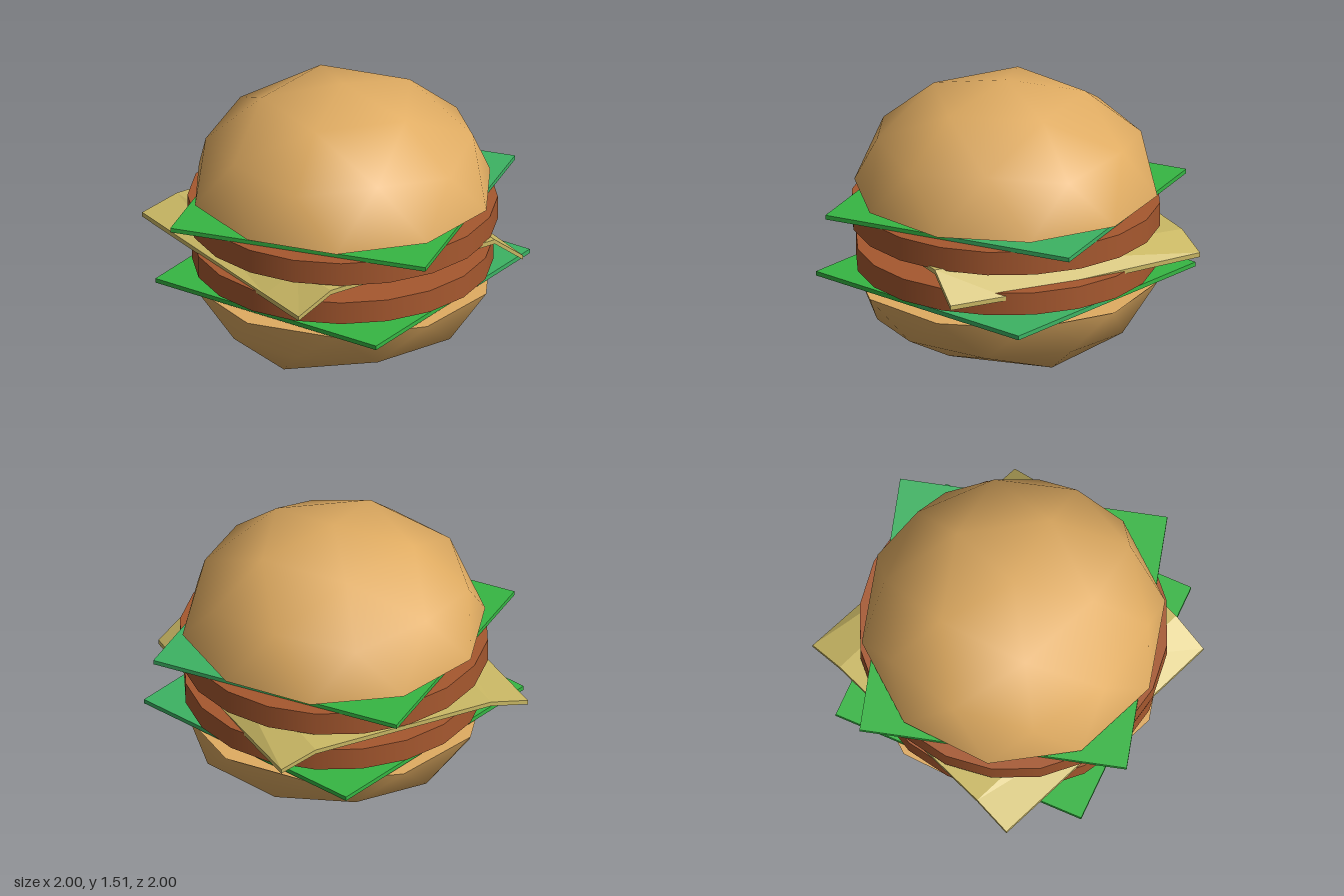
import * as THREE from 'three';

const mat = (name, color, side = THREE.FrontSide) => {
  const m = new THREE.MeshStandardMaterial({ color, side });
  m.name = name;
  return m;
};

const add = (parent, name, geometry, material) => {
  const m = new THREE.Mesh(geometry, material);
  m.name = name;
  parent.add(m);
  return m;
};

// Half of a once-subdivided icosahedron, pole along +y (dir 1) or -y (dir -1)
function domeGeometry(radius, height, dir, adjust) {
  const pos = [], index = [];
  const point = (deg, r, y) => {
    const a = THREE.MathUtils.degToRad(deg);
    const p = new THREE.Vector3(Math.cos(a) * r * radius, y * height * dir, -Math.sin(a) * r * radius);
    if (adjust) adjust(p, y);
    pos.push(p.x, p.y, p.z);
  };
  const ring = (n, start, r, y) => {
    for (let k = 0; k < n; k++) point(start + k * 360 / n, r, y);
  };
  point(0, 0, 1);
  ring(5, 0, 0.526, 0.851);
  ring(5, 0, 0.894, 0.447);
  ring(5, 36, 0.851, 0.526);
  ring(10, 18, 1, 0);
  const tri = (a, b, c) => index.push(...(dir > 0 ? [a, b, c] : [a, c, b]));
  for (let k = 0; k < 5; k++) {
    const n = (k + 1) % 5;
    const A = 1 + k, A2 = 1 + n, B = 6 + k, B2 = 6 + n, C = 11 + k;
    const E0 = 16 + (2 * k + 9) % 10, E1 = 16 + 2 * k, E2 = 17 + 2 * k;
    tri(0, A, A2);
    tri(A, C, A2);
    tri(A, B, C);
    tri(A2, C, B2);
    tri(B, E0, E1);
    tri(B, E1, C);
    tri(C, E1, E2);
    tri(C, E2, B2);
  }
  const g = new THREE.BufferGeometry();
  g.setAttribute('position', new THREE.Float32BufferAttribute(pos, 3));
  g.setIndex(index);
  g.computeVertexNormals();
  return g;
}

// Bun half: faceted dome with a flat cut face
function bun(name, y, height, dir, material, adjust) {
  const g = new THREE.Group();
  g.name = name;
  add(g, 'crust', domeGeometry(0.81, height, dir, adjust), material);
  const cut = new THREE.CircleGeometry(0.81, 10, Math.PI / 10);
  cut.rotateX(dir * Math.PI / 2);
  add(g, 'cutFace', cut, material);
  g.position.y = y;
  return g;
}

// Flat square leaf, with the corner on the left in a second green
function lettuce(name, halfDiagonal, angle, y, green, tealGreen) {
  const g = new THREE.Group();
  g.name = name;
  const d = halfDiagonal, h = d / 2;
  const slab = (points) => {
    const shape = new THREE.Shape(points.map(([x, z]) => new THREE.Vector2(x, z)));
    const geo = new THREE.ExtrudeGeometry(shape, { depth: 0.024, bevelEnabled: false });
    return geo.rotateX(-Math.PI / 2);
  };
  add(g, 'leaf', slab([[h, -h], [h, h], [0, d], [-d, 0], [0, -d]]), green);
  add(g, 'leafCorner', slab([[h, -h], [d, 0], [h, h]]), tealGreen);
  g.rotation.y = -THREE.MathUtils.degToRad(angle);
  g.position.y = y;
  return g;
}

// Thin sheet with both side edges folded down
function cheeseGeometry() {
  const xs = [[-0.75, -0.53, 0.51, 0.715], [-0.74, -0.53, 0.51, 0.7], [-0.735, -0.53, 0.51, 0.69]];
  const zs = [-0.785, 0.37, 0.685];
  const tops = [[0.635, 0.69, 0.7, 0.637], [0.62, 0.71, 0.725, 0.59], [0.615, 0.715, 0.732, 0.59]];
  const g = new THREE.BoxGeometry(3, 1, 2, 3, 1, 2).toNonIndexed();
  const p = g.attributes.position;
  for (let i = 0; i < p.count; i++) {
    const c = Math.round(p.getX(i) + 1.5), r = Math.round(p.getZ(i) + 1);
    const drop = p.getY(i) < 0 ? 0.025 : 0;
    p.setXYZ(i, xs[r][c], tops[r][c] - drop, zs[r]);
  }
  g.computeVertexNormals();
  return g;
}

export function createModel() {
  const model = new THREE.Group();
  model.name = 'burger';
  const bread = mat('bread', 0xe0ac62);
  const meat = mat('meat', 0xa6582f);
  const green = mat('leafGreen', 0x36b643);
  const teal = mat('leafTealGreen', 0x3db363);
  const cheese = mat('cheese', 0xcbb965);

  // Buns; the lower one has a broader, flatter base
  model.add(bun('topBun', 0.9, 0.61, 1, bread));
  model.add(bun('bottomBun', 0.41, 0.41, -1, bread, (p, y) => {
    if (y > 0.8 && y < 0.9) {
      if (p.x > 0.3) p.x = 0.53;
      if (p.x < -0.3) { p.x = -0.54; p.y += 0.015; }
    }
    if (y < 0.5 && p.x > 0.7) p.x = 0.75;
  }));

  // Patties
  for (const [name, r, y, h] of [['topPatty', 0.82, 0.785, 0.13], ['bottomPatty', 0.797, 0.546, 0.124]]) {
    const patty = add(model, name, new THREE.CylinderGeometry(r, r, h, 20), meat);
    patty.position.y = y;
    patty.rotation.y = 0.03;
  }

  // Fillings
  model.add(lettuce('topLettuce', 1.01, 8, 0.848, green, teal));
  model.add(lettuce('bottomLettuce', 1.005, 23.5, 0.425, green, teal));
  add(model, 'cheeseSlice', cheeseGeometry(), cheese);
  return model;
}
